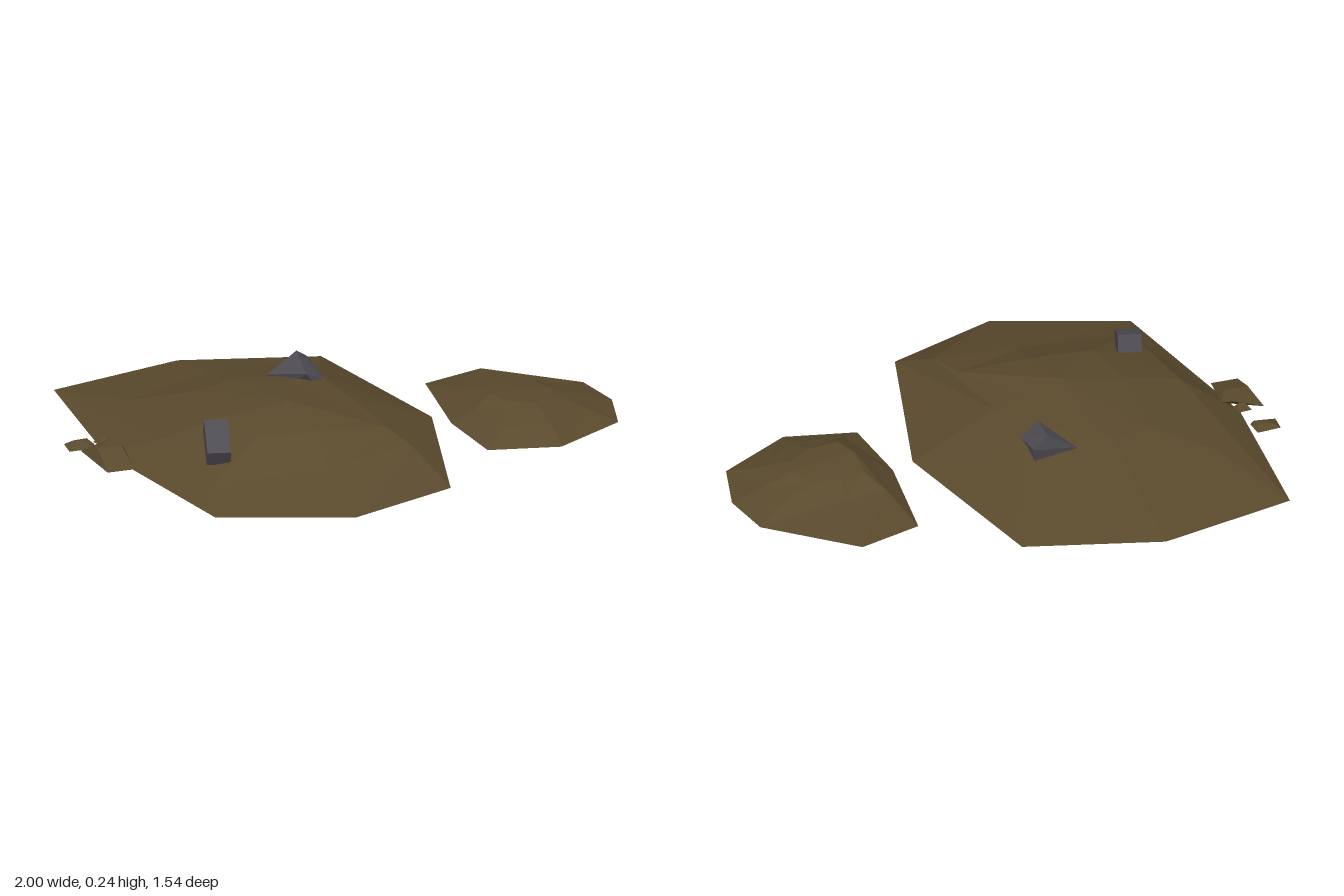
import * as THREE from 'three';
import { ConvexGeometry } from 'three/addons/geometries/ConvexGeometry.js';

// Faceted mound: rings of eight [x, y, z] points from the rim inward, closed by a peak and a flat base
function moundGeometry(rings, peak) {
  const n = rings[0].length;
  const points = [...rings.flat(), peak];
  const index = [];
  for (let r = 0; r < rings.length; r++) {
    for (let i = 0; i < n; i++) {
      const j = (i + 1) % n;
      const a = r * n + i, b = r * n + j;
      if (r === rings.length - 1) index.push(b, a, points.length - 1);
      else index.push(b, a, a + n, b, a + n, b + n);
    }
  }
  for (let i = 1; i < n - 1; i++) index.push(0, i, i + 1);
  const indexed = new THREE.BufferGeometry();
  indexed.setAttribute('position', new THREE.Float32BufferAttribute(points.flat(), 3));
  indexed.setIndex(index);
  const geometry = indexed.toNonIndexed();
  geometry.computeVertexNormals();
  return geometry;
}

const chunkGeometry = (points) => new ConvexGeometry(points.map((p) => new THREE.Vector3(...p)));

export function createModel() {
  const group = new THREE.Group();
  const dirt = new THREE.MeshStandardMaterial({ color: 0x5a4a2d });
  dirt.name = 'dirt brown';
  const stone = new THREE.MeshStandardMaterial({ color: 0x4e4c52 });
  stone.name = 'stone grey';
  dirt.flatShading = stone.flatShading = true;

  const add = (name, geometry, material) => {
    const mesh = new THREE.Mesh(geometry, material);
    mesh.name = name;
    group.add(mesh);
    return mesh;
  };

  // Large mound
  add('largeMound', moundGeometry([
    [[-0.89, 0.03, -0.65], [-0.39, 0.03, -0.77], [0.11, 0.03, -0.65], [0.32, 0.03, -0.01],
      [0.19, 0.03, 0.62], [-0.21, 0.03, 0.77], [-0.69, 0.03, 0.62], [-0.89, 0.03, -0.05]],
    [[-0.71, 0.09, -0.35], [-0.37, 0.09, -0.5], [-0.04, 0.16, -0.22], [0, 0.165, 0.03],
      [0.1, 0.135, 0.45], [-0.23, 0.1, 0.47], [-0.64, 0.085, 0.46], [-0.71, 0.12, 0.08]],
    [[-0.5, 0.15, -0.22], [-0.35, 0.155, -0.27], [-0.15, 0.175, -0.15], [-0.1, 0.18, 0.07],
      [0.05, 0.155, 0.31], [-0.2, 0.17, 0.3], [-0.44, 0.165, 0.29], [-0.5, 0.17, 0.08]],
  ], [-0.25, 0.21, 0.09]), dirt);

  // Small mound
  add('smallMound', moundGeometry([
    [[0.41, 0, -0.37], [0.64, 0, -0.44], [0.95, 0, -0.21], [1, 0, -0.03],
      [0.96, 0, 0.17], [0.7, 0, 0.32], [0.44, 0, 0.27], [0.39, 0, 0]],
    [[0.47, 0.045, -0.18], [0.62, 0.035, -0.18], [0.87, 0.03, -0.15], [0.88, 0.04, -0.02],
      [0.86, 0.04, 0.1], [0.7, 0.04, 0.22], [0.52, 0.045, 0.2], [0.46, 0.045, 0.02]],
    [[0.53, 0.085, -0.1], [0.62, 0.085, -0.12], [0.72, 0.08, -0.11], [0.77, 0.08, -0.02],
      [0.75, 0.08, 0.05], [0.67, 0.085, 0.1], [0.57, 0.1, 0.09], [0.53, 0.1, 0.01]],
  ], [0.63, 0.1, 0]), dirt);

  // Block of stone leaning on the front slope
  const block = add('blockStone', new THREE.BoxGeometry(0.085, 0.065, 0.157), stone);
  block.position.set(-0.58, 0.175, 0.295);
  block.rotation.set(0.46, -0.22, 0, 'YXZ');

  // Wedge of stone near the crest
  add('wedgeStone', chunkGeometry([
    [-0.11, 0.2, -0.14], [-0.1, 0.232, -0.28],
    [-0.21, 0.155, -0.275], [-0.14, 0.15, -0.19],
    [-0.035, 0.16, -0.16], [-0.045, 0.19, -0.3],
    [-0.05, 0.12, -0.29], [-0.05, 0.12, -0.15], [-0.19, 0.12, -0.27],
  ]), stone);

  // Loose clods beside the large mound
  add('largeClod', chunkGeometry([
    [-0.94, 0.085, 0.02], [-0.85, 0.085, 0.02], [-0.86, 0.085, -0.06], [-0.975, 0.045, -0.065],
    [-0.94, 0.04, 0.14], [-0.84, 0.04, 0.14], [-0.83, 0.06, -0.02], [-0.95, 0.035, 0],
  ]), dirt);
  add('flatClod', chunkGeometry([
    [-1, 0.025, -0.185], [-0.91, 0.03, -0.2], [-0.9, 0.03, -0.14], [-0.92, 0.025, -0.115],
    [-1, 0.022, -0.12], [-0.97, 0.042, -0.17], [-0.92, 0.044, -0.17], [-0.93, 0.042, -0.14],
  ]), dirt);
  add('smallClod', chunkGeometry([
    [-0.92, 0.06, -0.095], [-0.87, 0.06, -0.1], [-0.86, 0.06, -0.06], [-0.9, 0.06, -0.05],
    [-0.9, 0.082, -0.08], [-0.88, 0.082, -0.07],
  ]), dirt);

  return group;
}
